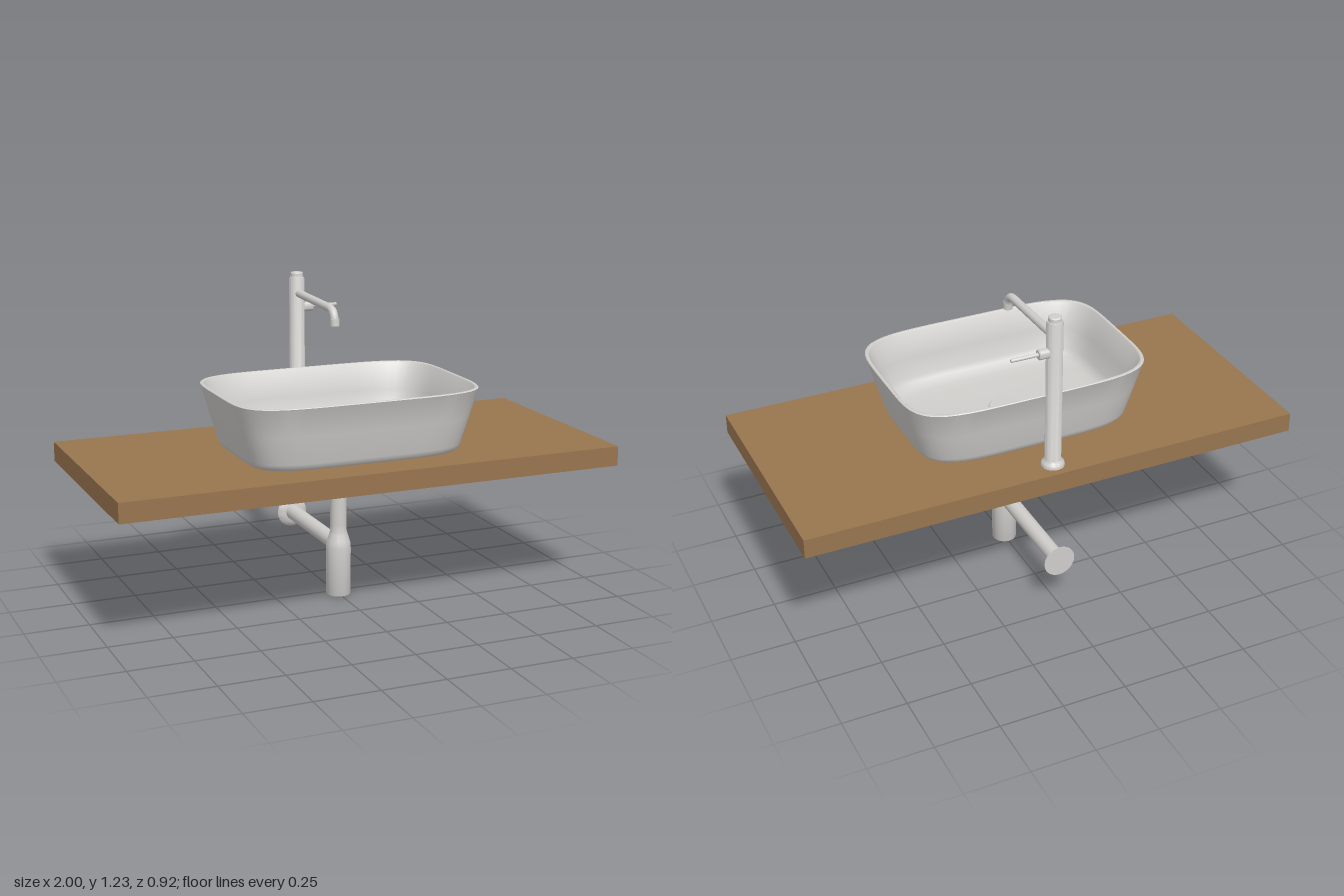
import * as THREE from 'three';
import { toCreasedNormals } from 'three/addons/utils/BufferGeometryUtils.js';

const V = (x, y, z) => new THREE.Vector3(x, y, z);

// Closed skin through rounded-rectangle sections [halfX, halfZ, y]
function sectionSkin(sections, power, segments) {
  const pos = [], index = [];
  for (const [hx, hz, y] of sections) {
    for (let j = 0; j < segments; j++) {
      const t = (j / segments) * Math.PI * 2, c = Math.cos(t), s = Math.sin(t);
      const r = (Math.abs(c) ** power + Math.abs(s) ** power) ** (-1 / power);
      pos.push(hx * r * c, y, hz * r * s);
    }
  }
  for (let i = 0; i < sections.length - 1; i++) {
    for (let j = 0; j < segments; j++) {
      const k = (j + 1) % segments;
      const a = i * segments + j, b = a + segments;
      const c = i * segments + k, d = c + segments;
      index.push(a, b, c, c, b, d);
    }
  }
  const geo = new THREE.BufferGeometry();
  geo.setAttribute('position', new THREE.Float32BufferAttribute(pos, 3));
  geo.setIndex(index);
  return toCreasedNormals(geo, 0.75);
}

// Turned part from [radius, height] points
function turned(points) {
  const geo = new THREE.LatheGeometry(points.map(([r, y]) => new THREE.Vector2(r, y)), 40);
  return toCreasedNormals(geo, 0.6);
}

export function createModel() {
  const group = new THREE.Group();
  const wood = new THREE.MeshStandardMaterial({ color: 0x98754f });
  wood.name = 'wood';
  const grey = new THREE.MeshStandardMaterial({ color: 0xd0cecb });
  grey.name = 'light grey';

  const add = (name, geo, mat, x = 0, y = 0, z = 0) => {
    const mesh = new THREE.Mesh(geo, mat);
    mesh.name = name;
    mesh.position.set(x, y, z);
    group.add(mesh);
    return mesh;
  };

  // Countertop
  add('countertop', new THREE.BoxGeometry(2, 0.077, 0.922), wood, 0, 0.5635, 0);

  // Basin: underside, flared outer wall, thin rim, inner wall, floor
  const basinZ = 0.039;
  add('basin', sectionSkin([
    [0.001, 0.001, 0.602], [0.395, 0.27, 0.602], [0.418, 0.288, 0.605], [0.43, 0.298, 0.614],
    [0.436, 0.303, 0.63], [0.467, 0.324, 0.74], [0.495, 0.345, 0.845], [0.496, 0.347, 0.849],
    [0.493, 0.344, 0.852], [0.485, 0.336, 0.852], [0.481, 0.332, 0.848],
    [0.455, 0.312, 0.74], [0.43, 0.293, 0.668], [0.419, 0.283, 0.648], [0.4, 0.266, 0.633],
    [0.37, 0.24, 0.626], [0.3, 0.19, 0.622], [0.001, 0.001, 0.616],
  ], 5, 112), grey, 0, 0, basinZ);

  // Drain cover on the basin floor
  add('drainCover', turned([[0.06, 0], [0.06, 0.008], [0.055, 0.012], [0, 0.014]]),
    grey, 0, 0.615, basinZ);

  // Waste pipe and bottle trap
  add('drainCollar', new THREE.CylinderGeometry(0.047, 0.047, 0.01, 40), grey, 0, 0.522, basinZ);
  add('wastePipe', new THREE.CylinderGeometry(0.032, 0.032, 0.25, 40), grey, 0, 0.4, basinZ);
  add('bottleTrap', turned([
    [0, 0], [0.042, 0], [0.047, 0.003], [0.049, 0.009], [0.049, 0.195], [0.048, 0.21],
    [0.044, 0.225], [0.036, 0.25], [0.033, 0.262], [0.032, 0.283], [0, 0.283],
  ]), grey, 0, 0, basinZ);

  // Outlet pipe running back to the wall rosette
  const outlet = add('outletPipe', new THREE.CylinderGeometry(0.031, 0.031, 0.46, 40), grey, 0, 0.203, -0.22);
  outlet.rotation.x = Math.PI / 2;
  const rosette = add('wallRosette', turned([
    [0, 0], [0.063, 0], [0.063, 0.002], [0.056, 0.009], [0.046, 0.014], [0.031, 0.018], [0, 0.018],
  ]), grey, 0, 0.203, -0.461);
  rosette.rotation.x = Math.PI / 2;

  // Tap column with flared foot and cap
  const tapZ = -0.39;
  add('tapColumn', turned([
    [0, 0.602], [0.045, 0.602], [0.045, 0.608], [0.042, 0.617], [0.034, 0.624], [0.031, 0.629],
    [0.031, 1.198], [0.028, 1.204], [0.025, 1.205], [0.025, 1.22], [0.021, 1.224], [0, 1.226],
  ]), grey, 0, 0, tapZ);

  // Spout and nozzle
  const spoutPath = new THREE.CurvePath();
  spoutPath.add(new THREE.LineCurve3(V(0, 1.141, tapZ), V(0, 1.132, -0.055)));
  spoutPath.add(new THREE.CubicBezierCurve3(
    V(0, 1.132, -0.055), V(0, 1.131, -0.02), V(0, 1.122, -0.006), V(0, 1.09, 0.001)));
  add('spout', new THREE.TubeGeometry(spoutPath, 60, 0.016, 20), grey);
  const nozzle = add('nozzle', new THREE.CylinderGeometry(0.018, 0.018, 0.028, 32), grey, 0, 1.083, 0.003);
  nozzle.rotation.x = -0.08;

  // Side knob and lever
  const knob = add('handleKnob', turned([
    [0, 0], [0.02, 0], [0.02, 0.062], [0.017, 0.066], [0, 0.066],
  ]), grey, 0, 1.082, tapZ);
  knob.rotation.z = -Math.PI / 2;
  const lever = add('handleLever', turned([
    [0, 0], [0.008, 0], [0.007, 0.112], [0.005, 0.115], [0, 0.115],
  ]), grey, 0.058, 1.083, tapZ);
  lever.rotation.z = -Math.PI / 2;

  return group;
}
